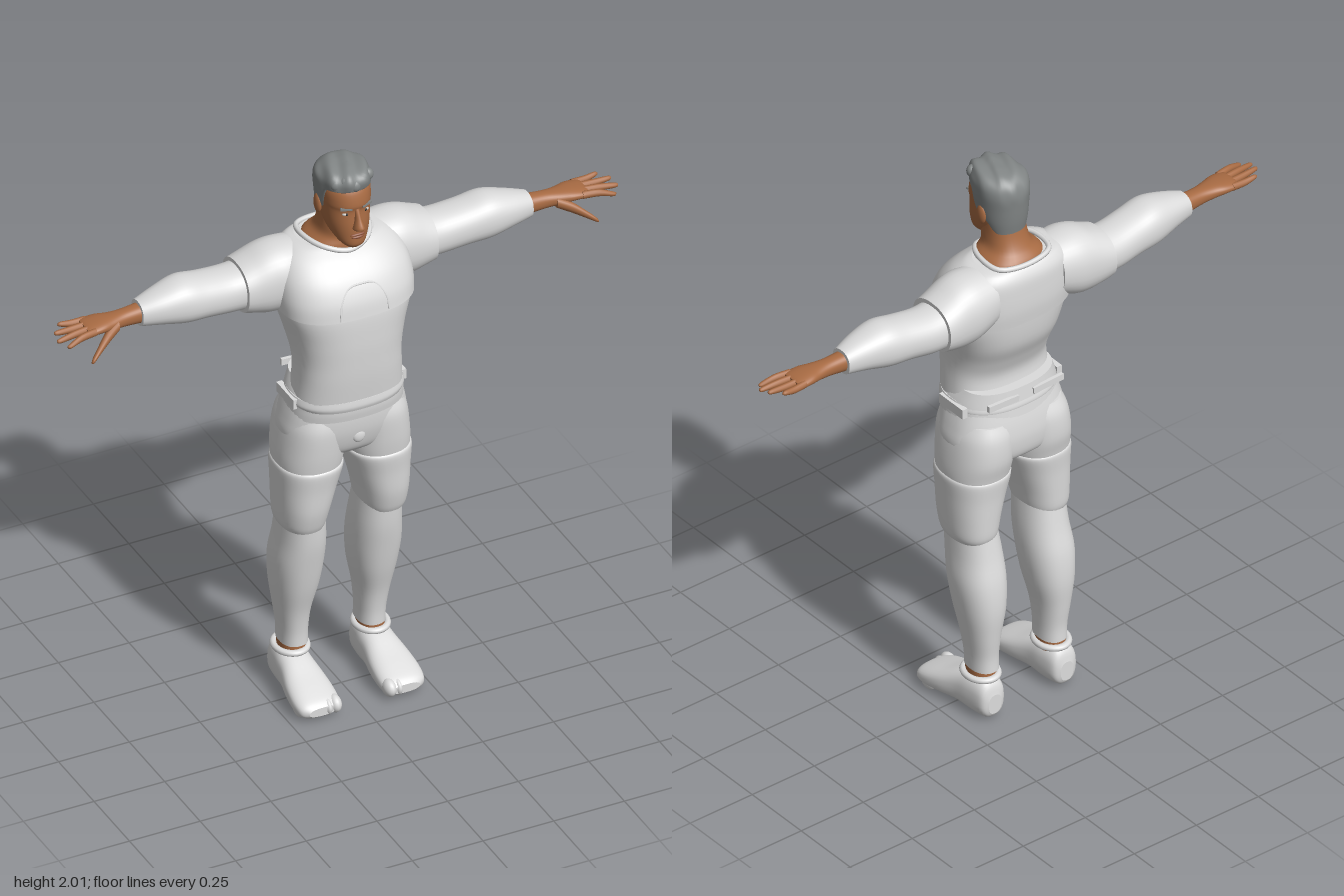
import * as THREE from 'three';

const mat = (name, color, side = THREE.FrontSide) => {
  const m = new THREE.MeshStandardMaterial({ color, side });
  m.name = name;
  return m;
};

// Smooth body through superellipse sections [t, u0, u1, v0, v1] along an axis.
// Axis y: u = z, v = x.  Axis x: u = y, v = z.  Axis z: u = x, v = y.
function loft(axis, sections, p = 2.3, n = 36, sub = 5) {
  const pos = [], idx = [];
  const put = (t, u, v) => pos.push(...(axis === 'y' ? [v, t, u] : axis === 'x' ? [t, u, v] : [u, v, t]));
  const rows = [];
  for (let i = 0; i < sections.length - 1; i++) {
    const [a, b, c, d] = [-1, 0, 1, 2].map(k => sections[Math.min(Math.max(i + k, 0), sections.length - 1)]);
    for (let s = 0; s < sub; s++) {
      const f = s / sub;
      rows.push(b.map((q, k) => 0.5 * (2 * q + (c[k] - a[k]) * f
        + (2 * a[k] - 5 * q + 4 * c[k] - d[k]) * f * f + (3 * q - a[k] - 3 * c[k] + d[k]) * f ** 3)));
    }
  }
  rows.push(sections[sections.length - 1]);
  const ring = ([t, u0, u1, v0, v1]) => {
    for (let j = 0; j < n; j++) {
      const c = Math.cos(j / n * Math.PI * 2), s = Math.sin(j / n * Math.PI * 2);
      put(t, (u0 + u1) / 2 + (u1 - u0) / 2 * Math.sign(c) * Math.abs(c) ** (2 / p),
        (v0 + v1) / 2 + (v1 - v0) / 2 * Math.sign(s) * Math.abs(s) ** (2 / p));
    }
  };
  rows.forEach(ring);
  for (let i = 0; i < rows.length - 1; i++) for (let j = 0; j < n; j++) {
    const a = i * n + j, b = i * n + (j + 1) % n;
    idx.push(a, b, a + n, b, b + n, a + n);
  }
  // End caps with their own vertices
  [rows[0], rows[rows.length - 1]].forEach((r, e) => {
    const base = pos.length / 3;
    ring(r);
    put(r[0], (r[1] + r[2]) / 2, (r[3] + r[4]) / 2);
    for (let j = 0; j < n; j++) {
      const a = base + j, b = base + (j + 1) % n;
      idx.push(...(e ? [a, b, base + n] : [b, a, base + n]));
    }
  });
  const g = new THREE.BufferGeometry();
  g.setAttribute('position', new THREE.Float32BufferAttribute(pos, 3));
  g.setIndex(idx);
  g.computeVertexNormals();
  return g;
}

const sym = rows => rows.map(([y, z0, z1, h]) => [y, z0, z1, -h, h]);
const offset = rows => rows.map(([y, z0, z1, c, h]) => [y, z0, z1, c - h, c + h]);
const tube = (pts, r, closed = false) => new THREE.TubeGeometry(
  new THREE.CatmullRomCurve3(pts.map(q => new THREE.Vector3(...q)), closed), 48, r, 8, closed);
const ball = (x, y, z, rx, ry, rz) => new THREE.SphereGeometry(1, 20, 14).scale(rx, ry, rz).translate(x, y, z);

function mirrored(g) {
  const m = g.clone().scale(-1, 1, 1), a = m.index.array;
  for (let i = 0; i < a.length; i += 3) [a[i], a[i + 1]] = [a[i + 1], a[i]];
  return m;
}

export function createModel() {
  const group = new THREE.Group();
  const cloth = mat('white cloth', 0xdcdcdc, THREE.DoubleSide);
  const skin = mat('skin', 0xa86b43);
  const hairGrey = mat('grey hair', 0x828686, THREE.DoubleSide);
  const lipTone = mat('lips', 0x8c5138);
  const eyeWhite = mat('eye white', 0xc9c5c0);
  const dark = mat('dark iris', 0x30302f);
  const add = (name, g, m) => {
    const mesh = new THREE.Mesh(g, m);
    mesh.name = name;
    group.add(mesh);
  };
  const pair = (name, g, m) => {
    add(name + 'Left', g, m);
    add(name + 'Right', mirrored(g), m);
  };

  // Shirt body and the slightly raised chest layer
  add('shirt', loft('y', sym([[1.165, -0.1, 0.155, 0.184], [1.25, -0.088, 0.165, 0.176], [1.32, -0.11, 0.17, 0.178],
    [1.4, -0.145, 0.173, 0.194], [1.5, -0.16, 0.17, 0.22], [1.56, -0.16, 0.15, 0.2]]), 2.5, 48), cloth);
  add('chestLayer', loft('y', sym([[1.495, -0.168, 0.176, 0.228], [1.55, -0.174, 0.165, 0.23], [1.61, -0.174, 0.135, 0.222],
    [1.66, -0.17, 0.09, 0.2], [1.69, -0.155, 0.05, 0.165], [1.7, -0.14, 0.035, 0.13]]), 2.6, 48), cloth);
  add('chestArch', tube([[-0.085, 1.5, 0.171], [-0.078, 1.55, 0.158], [-0.045, 1.595, 0.14], [0, 1.602, 0.138],
    [0.045, 1.595, 0.14], [0.078, 1.55, 0.158], [0.085, 1.5, 0.171]], 0.004), cloth);
  add('collar', tube([[0, 1.685, 0.062], [0.07, 1.7, 0.04], [0.11, 1.71, -0.03], [0.1, 1.705, -0.12], [0, 1.7, -0.145],
    [-0.1, 1.705, -0.12], [-0.11, 1.71, -0.03], [-0.07, 1.7, 0.04]], 0.009, true), cloth);

  // Sleeves: cap over the shoulder, then the long lower sleeve
  pair('shoulderCap', loft('x', [[0.13, 1.5, 1.695, -0.165, 0.03], [0.2, 1.47, 1.7, -0.174, 0.04],
    [0.25, 1.465, 1.692, -0.174, 0.035], [0.3, 1.475, 1.67, -0.174, 0.027], [0.335, 1.485, 1.655, -0.172, 0.022]]), cloth);
  pair('sleeve', loft('x', [[0.28, 1.495, 1.648, -0.16, 0.01], [0.37, 1.495, 1.64, -0.158, 0.005],
    [0.46, 1.505, 1.65, -0.15, 0.01], [0.54, 1.51, 1.663, -0.145, 0.014], [0.62, 1.527, 1.645, -0.125, 0.002],
    [0.69, 1.537, 1.622, -0.105, -0.018]]), cloth);

  // Hands
  pair('palm', loft('x', [[0.66, 1.545, 1.613, -0.097, -0.028], [0.74, 1.552, 1.607, -0.088, -0.028],
    [0.79, 1.558, 1.605, -0.092, -0.018], [0.83, 1.565, 1.605, -0.102, -0.008], [0.87, 1.568, 1.6, -0.104, -0.006],
    [0.885, 1.575, 1.595, -0.1, -0.012]]), skin);
  const fingers = [[-0.016, 0.97, 1.572, 0.004], [-0.042, 0.992, 1.58, -0.027],
    [-0.068, 0.985, 1.587, -0.062], [-0.093, 0.955, 1.59, -0.098]];
  fingers.forEach(([z, tx, ty, tz], i) => {
    pair('finger' + (i + 1), loft('x', [[0.86, 1.572, 1.598, z - 0.012, z + 0.012],
      [(0.86 + tx) / 2, 1.572, 1.596, (z + tz) / 2 - 0.011, (z + tz) / 2 + 0.011],
      [tx - 0.01, ty - 0.008, ty + 0.008, tz - 0.008, tz + 0.008],
      [tx, ty - 0.002, ty + 0.002, tz - 0.002, tz + 0.002]], 2, 12, 4), skin);
  });
  pair('thumb', loft('x', [[0.775, 1.555, 1.595, -0.05, -0.015], [0.82, 1.534, 1.574, -0.03, 0.004],
    [0.86, 1.515, 1.543, -0.002, 0.022], [0.888, 1.501, 1.518, 0.017, 0.034], [0.896, 1.5, 1.506, 0.026, 0.032]], 2, 14, 4), skin);

  // Waistband, hips and pocket flaps
  add('waistband', loft('y', sym([[1.095, -0.138, 0.147, 0.198], [1.13, -0.134, 0.152, 0.195], [1.165, -0.13, 0.148, 0.19],
    [1.215, -0.125, 0.1, 0.168]]), 2.4, 48), cloth);
  add('beltSeam', loft('y', sym([[1.135, -0.13, 0.156, 0.19], [1.15, -0.133, 0.16, 0.195], [1.172, -0.128, 0.158, 0.189]]), 2.4, 48), cloth);
  add('hips', loft('y', sym([[0.93, -0.1, 0.08, 0.14], [0.96, -0.135, 0.11, 0.2], [1.02, -0.146, 0.13, 0.216],
    [1.08, -0.142, 0.138, 0.206], [1.14, -0.13, 0.138, 0.19]]), 2.5, 48), cloth);
  pair('sideFlap', new THREE.BoxGeometry(0.02, 0.035, 0.12).translate(0.19, 1.15, 0), cloth);
  pair('backFlap', new THREE.BoxGeometry(0.12, 0.022, 0.012).rotateZ(0.04).translate(0.09, 1.185, -0.128), cloth);
  add('flyButton', ball(0, 1.015, 0.125, 0.022, 0.025, 0.01), cloth);

  // Trouser legs: thigh, overlapping knee layer, shin
  pair('thigh', loft('y', offset([[0.82, -0.12, 0.1, 0.128, 0.09], [0.9, -0.135, 0.115, 0.12, 0.107], [0.97, -0.15, 0.125, 0.115, 0.108],
    [1.05, -0.148, 0.13, 0.108, 0.102], [1.1, -0.13, 0.12, 0.1, 0.09]])), cloth);
  pair('kneeLayer', loft('y', offset([[0.655, -0.115, 0.08, 0.142, 0.07], [0.68, -0.124, 0.09, 0.142, 0.078],
    [0.74, -0.128, 0.104, 0.138, 0.087], [0.82, -0.132, 0.112, 0.129, 0.1], [0.885, -0.138, 0.12, 0.121, 0.111],
    [0.9, -0.134, 0.114, 0.12, 0.106]])), cloth);
  pair('kneePad', ball(0.145, 0.685, 0.055, 0.052, 0.035, 0.034), cloth);
  pair('shin', loft('y', offset([[0.165, -0.14, -0.015, 0.137, 0.046], [0.22, -0.14, -0.012, 0.138, 0.047],
    [0.3, -0.15, 0.002, 0.14, 0.056], [0.4, -0.16, 0.03, 0.138, 0.074], [0.5, -0.154, 0.052, 0.137, 0.083],
    [0.6, -0.132, 0.07, 0.134, 0.078], [0.72, -0.11, 0.08, 0.138, 0.068]])), cloth);

  // Ankles and shoes with soft toe bulges
  pair('ankle', loft('y', offset([[0.11, -0.135, -0.02, 0.14, 0.043], [0.19, -0.13, -0.022, 0.138, 0.042]])), skin);
  pair('shoe', loft('z', [[-0.157, 0.12, 0.17, 0.02, 0.09], [-0.14, 0.098, 0.192, 0.003, 0.135], [-0.08, 0.088, 0.202, 0, 0.148],
    [-0.02, 0.085, 0.208, 0.005, 0.132], [0.05, 0.075, 0.222, 0.003, 0.102], [0.11, 0.073, 0.226, 0, 0.078],
    [0.15, 0.08, 0.218, 0.003, 0.06], [0.168, 0.1, 0.195, 0.015, 0.045]], 2.5), cloth);
  pair('shoeCuff', new THREE.TorusGeometry(0.052, 0.011, 10, 32).rotateX(Math.PI / 2).scale(1, 1, 1.18).translate(0.142, 0.142, -0.078), cloth);
  for (let i = 0; i < 5; i++) {
    pair('toe' + (i + 1), ball(0.097 + i * 0.027, 0.033 - i * 0.002, 0.143 - i * i * 0.0022,
      i ? 0.015 : 0.022, 0.03, 0.034), cloth);
  }

  // Neck and head
  add('neck', loft('y', sym([[1.66, -0.145, 0.06, 0.125], [1.7, -0.138, 0.056, 0.108], [1.73, -0.112, 0.05, 0.077],
    [1.77, -0.092, 0.055, 0.068], [1.83, -0.075, 0.05, 0.066]])), skin);
  add('head', loft('y', sym([[1.722, 0.06, 0.105, 0.022], [1.738, 0.02, 0.118, 0.042], [1.77, -0.04, 0.119, 0.061],
    [1.81, -0.07, 0.118, 0.072], [1.86, -0.08, 0.113, 0.077], [1.885, -0.083, 0.117, 0.079], [1.93, -0.08, 0.106, 0.078],
    [1.965, -0.05, 0.08, 0.055]]), 2.2), skin);
  add('nose', loft('y', sym([[1.796, 0.1, 0.123, 0.012], [1.803, 0.1, 0.141, 0.019], [1.813, 0.1, 0.15, 0.017],
    [1.84, 0.1, 0.134, 0.01], [1.872, 0.1, 0.118, 0.008]]), 2, 16, 4), skin);
  pair('ear', ball(0.081, 1.85, -0.005, 0.011, 0.035, 0.021).rotateX(0), skin);
  add('upperLip', ball(0, 1.778, 0.117, 0.026, 0.005, 0.007), lipTone);
  add('lowerLip', ball(0, 1.768, 0.116, 0.022, 0.006, 0.008), lipTone);
  pair('eye', ball(0.033, 1.855, 0.1, 0.014, 0.006, 0.008), eyeWhite);
  pair('iris', ball(0.033, 1.855, 0.105, 0.005, 0.005, 0.004), dark);
  pair('eyebrow', new THREE.BoxGeometry(0.038, 0.007, 0.008).rotateY(0.3).rotateZ(0.08).translate(0.036, 1.876, 0.107), hairGrey);

  // Short hair: the lower edge rises towards the forehead, strands ripple the crown
  const hair = loft('y', sym([[1.79, -0.086, 0.03, 0.064], [1.83, -0.092, 0.07, 0.076], [1.88, -0.096, 0.1, 0.084],
    [1.93, -0.097, 0.108, 0.089], [1.965, -0.085, 0.113, 0.086], [1.988, -0.058, 0.095, 0.066],
    [1.996, -0.02, 0.06, 0.035], [1.997, 0.01, 0.03, 0.008]]), 2.2, 48, 6);
  const hp = hair.attributes.position;
  for (let i = 0; i < hp.count; i++) {
    const x = hp.getX(i), y = hp.getY(i), z = hp.getZ(i);
    const edge = 1.79 + 0.06 * THREE.MathUtils.smoothstep(z, -0.06, 0.0) + 0.085 * THREE.MathUtils.smoothstep(z, 0.025, 0.05);
    const k = THREE.MathUtils.smoothstep(y, 1.9, 1.96);
    const wave = 0.004 * k * Math.sin(x * 110 + z * 40);
    hp.setXYZ(i, x * (1 + wave * 8), Math.max(y, edge) + wave * 0.8, z + wave);
  }
  hair.computeVertexNormals();
  add('hair', hair, hairGrey);
  for (let i = 0; i < 5; i++) {
    add('fringeLock' + (i + 1), ball(-0.056 + i * 0.028, 1.957 + 0.008 * Math.sin(i * 2), 0.097 - Math.abs(i - 2) * 0.012,
      0.02, 0.022, 0.018), hairGrey);
  }
  return group;
}
